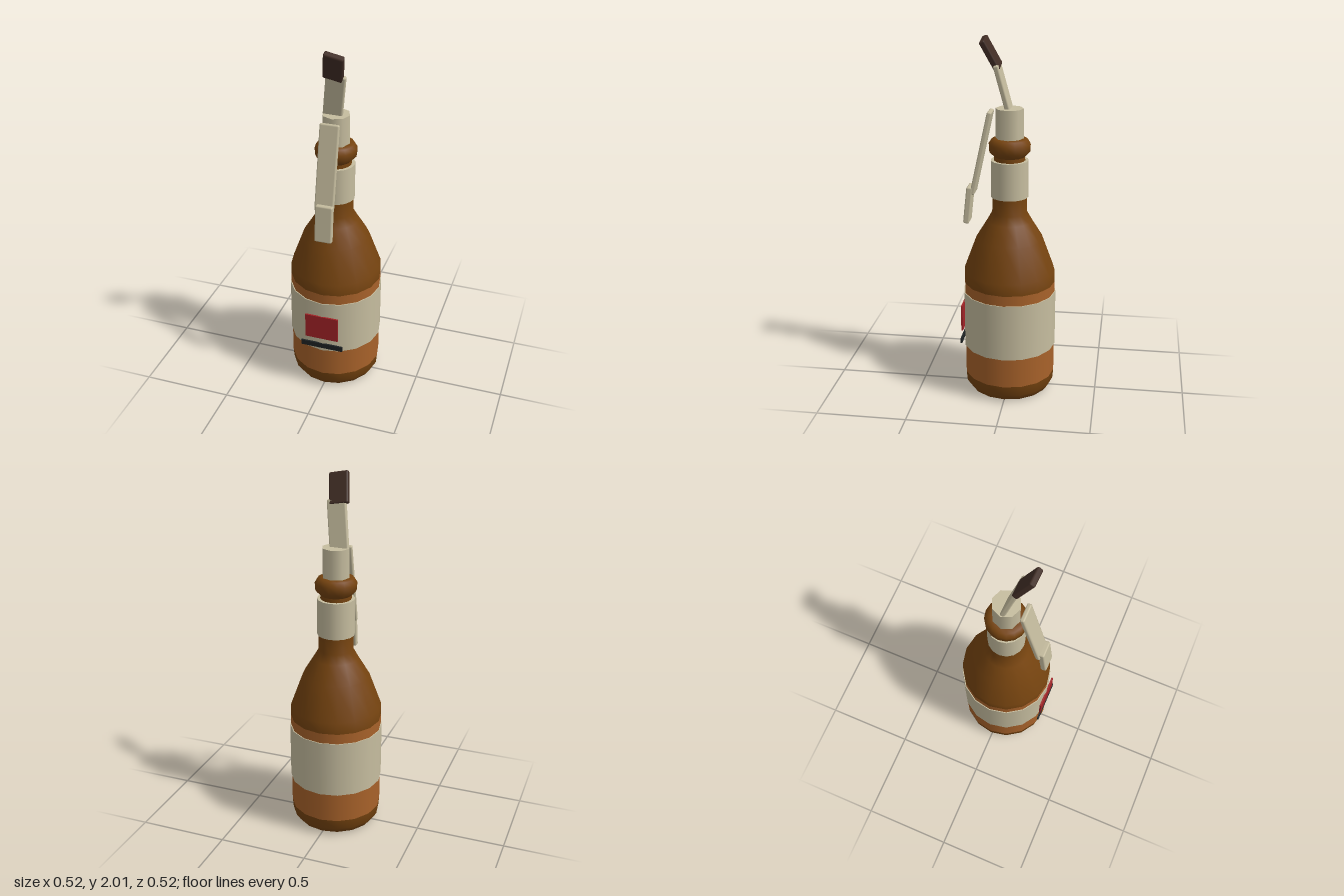
import * as THREE from 'three';
import { RoundedBoxGeometry } from 'three/addons/geometries/RoundedBoxGeometry.js';

const SIDES = 16;
const AXIS_Z = -0.002;

function material(name, color) {
  const m = new THREE.MeshStandardMaterial({ color });
  m.name = name;
  return m;
}

export function createModel() {
  const darkAmber = material('dark amber glass', 0x75430f);
  const amber = material('amber glass', 0xa8622a);
  const cream = material('cream paper and metal', 0xc6bd9f);
  const red = material('red', 0xa22327);
  const black = material('black', 0x1e2324);
  const brown = material('dark brown rubber', 0x422e26);

  const model = new THREE.Group();
  model.name = 'swingTopBottle';

  const add = (name, geometry, mat, x = 0, y = 0, z = 0) => {
    const mesh = new THREE.Mesh(geometry, mat);
    mesh.name = name;
    mesh.position.set(x, y, z);
    model.add(mesh);
    return mesh;
  };

  // Turned part from [radius, height] pairs, bottom to top
  const turned = (name, mat, profile) => {
    const points = profile.map(([r, y]) => new THREE.Vector2(r, y));
    return add(name, new THREE.LatheGeometry(points, SIDES), mat, 0, 0, AXIS_Z);
  };

  // Upright closed cylinder between two heights
  const sleeve = (name, mat, radius, y0, y1, sides = SIDES) =>
    add(name, new THREE.CylinderGeometry(radius, radius, y1 - y0, sides), mat, 0, (y0 + y1) / 2, AXIS_Z);

  // Flat bevelled bar running between two points, its broad side facing front
  const bar = (name, mat, from, to, width, thickness) => {
    const a = new THREE.Vector3(...from), b = new THREE.Vector3(...to);
    const up = b.clone().sub(a);
    const length = up.length();
    up.normalize();
    const side = new THREE.Vector3().crossVectors(up, new THREE.Vector3(0, 0, 1)).normalize();
    const face = new THREE.Vector3().crossVectors(side, up);
    const mesh = add(name, new RoundedBoxGeometry(width, length, thickness, 1, 0.009), mat);
    mesh.quaternion.setFromRotationMatrix(new THREE.Matrix4().makeBasis(side, up, face));
    mesh.position.copy(a.add(b).multiplyScalar(0.5));
  };

  // Glass bottle
  turned('bottleBase', darkAmber, [[0, 0.012], [0.2, 0], [0.225, 0.008], [0.25, 0.045], [0.255, 0.1]]);
  turned('bottleBody', amber, [[0.255, 0.1], [0.255, 0.65]]);
  turned('bottleShoulderAndNeck', darkAmber, [
    [0.255, 0.65], [0.254, 0.715], [0.186, 0.9], [0.125, 1.0], [0.097, 1.05],
    [0.094, 1.14], [0.086, 1.33], [0.083, 1.38],
  ]);
  turned('bottleLip', darkAmber, [
    [0.083, 1.365], [0.112, 1.395], [0.114, 1.435], [0.098, 1.46], [0.075, 1.466], [0, 1.466],
  ]);

  // Paper labels
  sleeve('bodyLabel', cream, 0.26, 0.27, 0.592);
  sleeve('neckLabel', cream, 0.103, 1.14, 1.345);

  // Flat label details
  add('labelSquare', new THREE.BoxGeometry(0.19, 0.15, 0.0095), red, 0, 0.43, 0.2572);
  add('labelStripe', new THREE.BoxGeometry(0.244, 0.03, 0.0095), black, 0, 0.305, 0.2572);

  // Stopper and its bent arm with a dark tip
  sleeve('stopper', cream, 0.076, 1.45, 1.627, 8);
  bar('upperArm', cream, [-0.022, 1.585, -0.005], [0.022, 1.868, 0.064], 0.108, 0.028);
  bar('armTip', brown, [0.003, 1.842, 0.055], [0.033, 1.995, 0.134], 0.108, 0.034);

  // Hanging lever in front of the neck
  bar('lever', cream, [0, 1.152, 0.2], [0, 1.612, 0.1], 0.107, 0.026);
  bar('leverHandle', cream, [0.007, 0.986, 0.234], [0.007, 1.194, 0.212], 0.097, 0.034);

  return model;
}
